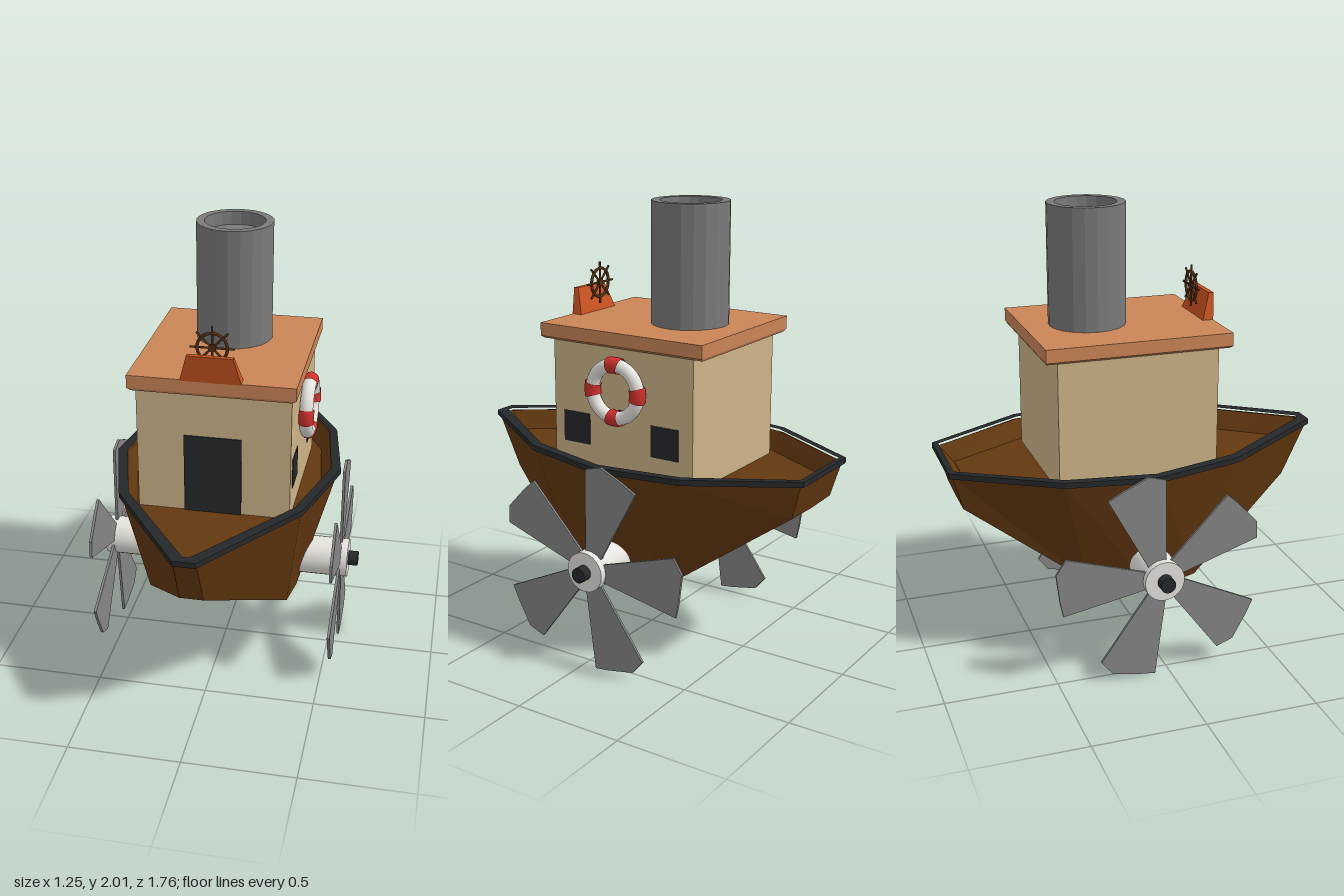
import * as THREE from 'three';

const mat = (color, opts = {}) => new THREE.MeshStandardMaterial({ color, ...opts });
const open = { flatShading: true, side: THREE.DoubleSide };
const BROWN = mat(0x63380f, open);
const BLACK = mat(0x25282a, { flatShading: true });
const WALL = mat(0xcdb488, { flatShading: true });
const ROOF = mat(0xcb8557, { flatShading: true });
const ORANGE = mat(0xc8521f, { flatShading: true });
const STEEL = mat(0x858585, open);
const FUNNEL = mat(0x7a7a7a, { flatShading: true });
const WHITE = mat(0xe6e4de);
const RED = mat(0xd0302c, { side: THREE.DoubleSide });
const WOOD = mat(0x4f3012);

export function createModel() {
  const model = new THREE.Group();

  const add = (name, geometry, material, x = 0, y = 0, z = 0, parent = model) => {
    const mesh = new THREE.Mesh(geometry, material);
    mesh.name = name;
    mesh.position.set(x, y, z);
    parent.add(mesh);
    return mesh;
  };

  // Skin between rows of [x, y, z] points; optional fans close both ends
  const loft = (rows, { closed = false, caps = false } = {}) => {
    const n = rows[0].length, index = [];
    for (let i = 0; i < rows.length - 1; i++) {
      for (let j = 0; j < (closed ? n : n - 1); j++) {
        const a = i * n + j, b = i * n + (j + 1) % n;
        index.push(a, a + n, b, b, a + n, b + n);
      }
    }
    if (caps) {
      const e = (rows.length - 1) * n;
      for (let j = 1; j < n - 1; j++) index.push(0, j, j + 1, e, e + j + 1, e + j);
    }
    const indexed = new THREE.BufferGeometry();
    indexed.setAttribute('position', new THREE.Float32BufferAttribute(rows.flat(2), 3));
    indexed.setIndex(index);
    const g = indexed.toNonIndexed();
    g.computeVertexNormals();
    return g;
  };

  // Mirrored plan outline from [halfWidth, z] points, stern to bow
  const outline = (half) => [...half, ...half.map(([w, z]) => [-w, z]).reverse()];
  const plan = (half) => outline(half).map(([x, z]) => new THREE.Vector2(x, -z));
  const flat = (shape, depth) =>
    new THREE.ExtrudeGeometry(shape, { depth, bevelEnabled: false }).rotateX(-Math.PI / 2);

  // Hull: five stations of top edge, chine and keel
  const stations = [
    [[0.195, 0.89, -0.865], [0.18, 0.73, -0.82], [0, 0.725, -0.82]],
    [[0.45, 0.89, -0.44], [0.30, 0.36, -0.30], [0, 0.345, -0.30]],
    [[0.51, 0.89, -0.04], [0.34, 0.29, 0.0], [0, 0.26, 0.02]],
    [[0.40, 0.89, 0.365], [0.325, 0.33, 0.20], [0, 0.315, 0.20]],
    [[0.05, 0.89, 0.865], [0.052, 0.65, 0.75], [0, 0.65, 0.75]],
  ];
  const flip = ([x, y, z]) => [-x, y, z];
  const rings = stations.map(([t, c, k]) => [t, c, k, flip(c), flip(t)]);
  const hullSkin = loft(rings);
  add('hull', hullSkin, BROWN);
  const ends = [rings[0], rings[4]];
  ends.forEach((r, i) => {
    const mid = r.map(([x, y, z]) => [0, y, z]);
    add(i ? 'bowPlate' : 'sternPlate', loft(i ? [r, mid] : [mid, r]), BROWN);
  });

  // Rim, inner bulwark and deck
  const rimOuter = [[0.2, -0.88], [0.46, -0.44], [0.525, -0.04], [0.41, 0.37], [0.05, 0.88]];
  const rimInner = [[0.18, -0.855], [0.425, -0.43], [0.48, -0.04], [0.37, 0.355], [0.015, 0.84]];
  const deckEdge = [[0.18, -0.785], [0.39, -0.41], [0.435, -0.04], [0.335, 0.33], [0.01, 0.78]];
  const rimShape = new THREE.Shape(plan(rimOuter));
  rimShape.holes.push(new THREE.Path(plan(rimInner)));
  add('rim', flat(rimShape, 0.025), BLACK, 0, 0.885, 0);
  const level = (half, y) => outline(half).map(([x, z]) => [x, y, z]);
  add('bulwark', loft([level(rimInner, 0.9), level(deckEdge, 0.81)], { closed: true }), BROWN);
  add('deck', flat(new THREE.Shape(plan(deckEdge)), 0.01), BROWN, 0, 0.803, 0);

  // Cabin with door and windows
  add('cabin', new THREE.BoxGeometry(0.68, 0.6, 0.72), WALL, 0, 1.105, -0.07);
  add('door', new THREE.BoxGeometry(0.255, 0.37, 0.01), BLACK, -0.003, 0.995, 0.291);
  for (const z of [0.17, -0.29]) {
    add('window', new THREE.BoxGeometry(0.01, 0.14, 0.14), BLACK, 0.339, 1.01, z);
  }

  // Roof slab with its lower edge drawn in
  const roof = new THREE.BoxGeometry(0.73, 0.07, 0.83, 1, 2, 1);
  const rp = roof.attributes.position;
  for (let i = 0; i < rp.count; i++) {
    if (rp.getY(i) < -0.02) {
      rp.setX(i, rp.getX(i) * 0.95);
      rp.setZ(i, rp.getZ(i) * 0.985);
    } else if (rp.getY(i) < 0.02) rp.setY(i, -0.023);
  }
  add('roof', roof, ROOF, 0, 1.43, -0.07);

  // Funnel with a shallow recessed top
  const funnelProfile = [[0.172, 0], [0.172, 0.535], [0.135, 0.535], [0.135, 0.475], [0, 0.475]]
    .map(([r, y]) => new THREE.Vector2(r, y));
  add('funnel', new THREE.LatheGeometry(funnelProfile, 20), FUNNEL, 0, 1.465, -0.2);

  // Leaning console in front of the steering wheel
  const section = (y, w, z0, z1) => [[w, y, z0], [w, y, z1], [-w, y, z1], [-w, y, z0]];
  const consoleGeo = loft(
    [section(1.58, 0.1, 0.335, 0.358), section(1.46, 0.133, 0.295, 0.345)],
    { closed: true, caps: true });
  add('console', consoleGeo, mat(0xc8521f, open));

  // Steering wheel
  const helm = new THREE.Group();
  helm.name = 'steeringWheel';
  helm.position.set(-0.003, 1.595, 0.288);
  model.add(helm);
  add('wheelRing', new THREE.TorusGeometry(0.065, 0.007, 8, 32), WOOD, 0, 0, 0, helm);
  add('wheelHub', new THREE.CylinderGeometry(0.017, 0.017, 0.016, 16).rotateX(Math.PI / 2),
    WOOD, 0, 0, 0, helm);
  for (let i = 0; i < 4; i++) {
    add('spoke', new THREE.CylinderGeometry(0.005, 0.005, 0.19, 8), WOOD, 0, 0, 0, helm)
      .rotation.z = i * Math.PI / 4;
  }

  // Lifebuoy with four bands on the left wall
  const buoy = new THREE.Group();
  buoy.name = 'lifebuoy';
  buoy.position.set(0.37, 1.21, -0.055);
  buoy.rotation.y = Math.PI / 2;
  model.add(buoy);
  add('buoyRing', new THREE.TorusGeometry(0.117, 0.03, 16, 48), WHITE, 0, 0, 0, buoy);
  for (let i = 0; i < 4; i++) {
    const arc = 0.5;
    add('buoyBand', new THREE.TorusGeometry(0.117, 0.036, 16, 6, arc), RED, 0, 0, 0, buoy)
      .rotation.z = i * Math.PI / 2 - arc / 2;
  }

  // Paddle wheels: hub, axle cap and five flared blades per side
  const bladeShape = new THREE.Shape([
    [0.07, -0.045], [0.44, -0.135], [0.457, -0.07], [0.48, 0.06], [0.44, 0.13], [0.07, 0.035],
  ].map(([r, t]) => new THREE.Vector2(r, t)));
  const bladeGeo = new THREE.ExtrudeGeometry(bladeShape, { depth: 0.012, bevelEnabled: false })
    .translate(0, 0, -0.006);
  const axle = (r, len) => new THREE.CylinderGeometry(r, r, len, 24).rotateZ(Math.PI / 2);
  for (const side of [1, -1]) {
    const wheel = new THREE.Group();
    wheel.name = side > 0 ? 'leftPaddleWheel' : 'rightPaddleWheel';
    wheel.position.set(0, 0.447, -0.035);
    model.add(wheel);
    add('hub', axle(0.09, 0.3), WHITE, side * 0.43, 0, 0, wheel);
    add('axleCap', axle(0.034, 0.06), BLACK, side * 0.595, 0, 0, wheel);
    for (let i = 0; i < 5; i++) {
      const angle = THREE.MathUtils.degToRad(3 + 72 * i);
      add('blade', bladeGeo.clone().rotateZ(angle).rotateY(Math.PI / 2), STEEL,
        side * 0.543, 0, 0, wheel);
    }
  }

  return model;
}
